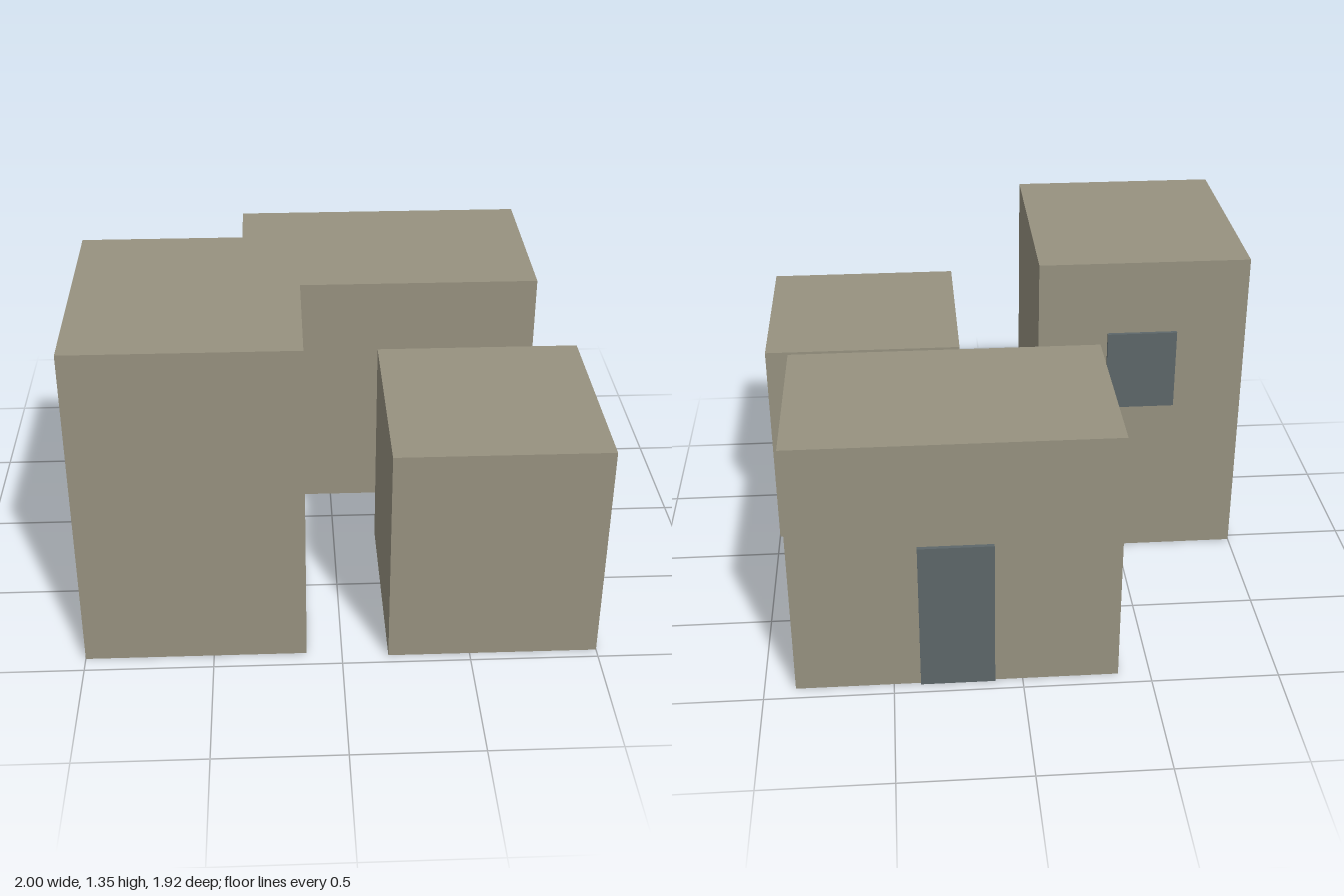
import * as THREE from 'three';

export function createModel() {
  const model = new THREE.Group();
  model.name = 'buildingCluster';

  const wall = new THREE.MeshStandardMaterial({ color: 0x979280 });
  wall.name = 'plasterWall';
  const slate = new THREE.MeshStandardMaterial({ color: 0x5d676a });
  slate.name = 'slateOpening';

  // Box given by its extents along each axis
  function block(name, material, [x0, x1], [y0, y1], [z0, z1]) {
    const mesh = new THREE.Mesh(new THREE.BoxGeometry(x1 - x0, y1 - y0, z1 - z0), material);
    mesh.position.set((x0 + x1) / 2, (y0 + y1) / 2, (z0 + z1) / 2);
    mesh.name = name;
    model.add(mesh);
  }

  // Three plain buildings
  block('tallBuilding', wall, [-1, -0.138], [0, 1.35], [-0.031, 0.933]);
  block('wideBuilding', wall, [-0.375, 0.879], [0, 1.06], [-0.944, -0.176]);
  block('smallBuilding', wall, [0.181, 1], [0, 0.917], [0.139, 0.96]);

  // Slabs on the back walls
  block('backDoor', slate, [0.108, 0.396], [0.005, 0.63], [-0.96, -0.944]);
  block('backWindow', slate, [-0.712, -0.424], [0.7, 1.04], [-0.046, -0.031]);

  return model;
}
